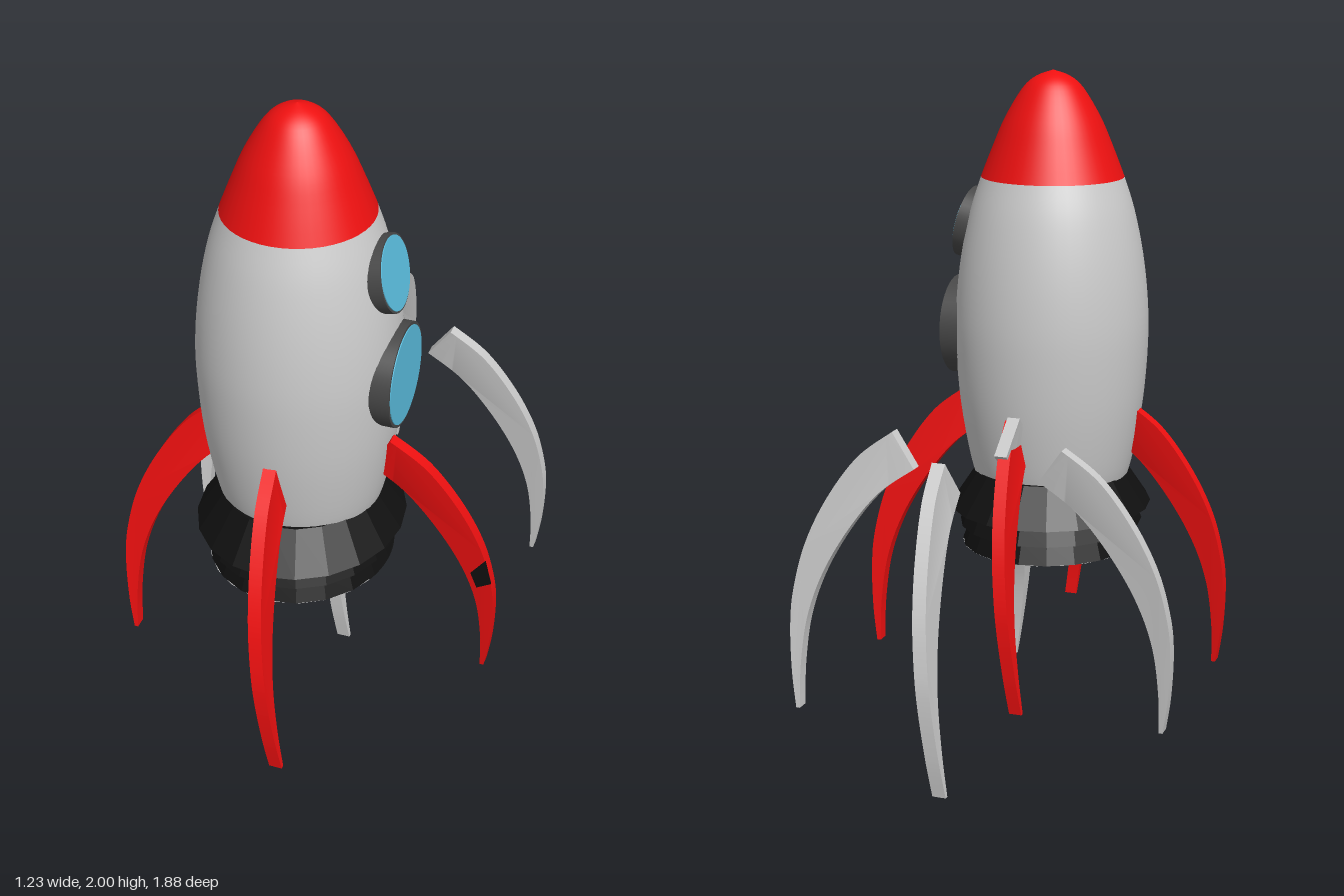
import * as THREE from 'three';
import { toCreasedNormals } from 'three/addons/utils/BufferGeometryUtils.js';

const material = (color, options = {}) => new THREE.MeshStandardMaterial({ color, ...options });
const grey = material(0xcccccc);
const red = material(0xee1010);
const black = material(0x101010, { flatShading: true, side: THREE.DoubleSide });
const darkGrey = material(0x484848);
const blue = material(0x5bbfe0);
const greyPlate = material(0xcccccc, { side: THREE.DoubleSide });

function add(parent, name, geometry, mat) {
  const mesh = new THREE.Mesh(geometry, mat);
  mesh.name = name;
  parent.add(mesh);
  return mesh;
}

const vectors = (pairs) => pairs.map(([x, y]) => new THREE.Vector2(x, y));

function smoothLathe(pairs, divisions) {
  const points = new THREE.SplineCurve(vectors(pairs)).getPoints(divisions);
  points.forEach((p) => { p.x = Math.max(p.x, 0); });
  return new THREE.LatheGeometry(points, 48);
}

// Extrudes a (radius, height) outline and lets it drift sideways towards the foot
function sweptPlate(shape, width, offset) {
  const geometry = new THREE.ExtrudeGeometry(shape, { depth: width, bevelEnabled: false, curveSegments: 18 });
  geometry.translate(0, 0, -width / 2);
  geometry.rotateY(-Math.PI / 2);
  const pos = geometry.attributes.position;
  for (let i = 0; i < pos.count; i++) {
    const drop = Math.max(0, 1 - pos.getY(i) / 0.92);
    pos.setX(i, pos.getX(i) + offset - 0.015 + 0.115 * Math.pow(drop, 0.9));
  }
  return toCreasedNormals(geometry, 0.5);
}

function legGeometry() {
  const shape = new THREE.Shape();
  shape.moveTo(0.205, 0.81);
  shape.splineThru(vectors([[0.32, 0.725], [0.42, 0.6], [0.505, 0.45], [0.555, 0.3], [0.573, 0.14], [0.572, 0]]));
  shape.lineTo(0.585, 0);
  shape.splineThru(vectors([[0.604, 0.12], [0.614, 0.27], [0.606, 0.39], [0.57, 0.54], [0.5, 0.69], [0.4, 0.83], [0.285, 0.92]]));
  shape.closePath();
  return sweptPlate(shape, 0.042, 0);
}

// Four legs around a common centre
function legSet(name, geometry, mat, z) {
  const set = new THREE.Group();
  set.name = name;
  set.position.z = z;
  for (let i = 0; i < 4; i++) add(set, 'leg', geometry, mat).rotation.y = (i * Math.PI) / 2;
  return set;
}

// Round window: dark rim with a shallow glass disc, facing +x
function porthole(radius, x, y, tilt) {
  const window = new THREE.Group();
  window.name = 'porthole';
  window.position.set(x, y, 0);
  window.rotation.z = tilt;
  const rim = new THREE.CylinderGeometry(radius, radius, 0.07, 40).rotateZ(-Math.PI / 2).translate(-0.035, 0, 0);
  add(window, 'rim', rim, darkGrey);
  const glass = new THREE.CylinderGeometry(radius * 0.94, radius * 0.94, 0.006, 40).rotateZ(-Math.PI / 2);
  add(window, 'glass', glass, blue);
  return window;
}

export function createModel() {
  const model = new THREE.Group();
  model.name = 'rocket';

  const hull = new THREE.Group();
  hull.name = 'hull';
  hull.position.set(-0.025, 0, 0.305);
  model.add(hull);

  // Rounded fuselage and nose cone
  add(hull, 'fuselage', smoothLathe([
    [0, 0.36], [0.06, 0.37], [0.11, 0.415], [0.18, 0.5], [0.235, 0.6], [0.27, 0.7], [0.305, 0.9],
    [0.32, 1.1], [0.317, 1.25], [0.3, 1.4], [0.27, 1.545], [0.233, 1.66],
  ], 44), grey);
  add(hull, 'noseCone', smoothLathe([
    [0.235, 1.655], [0.198, 1.75], [0.157, 1.845], [0.1, 1.94], [0.055, 1.98], [0, 2],
  ], 20), red);

  // Stepped skirt, slightly narrower across x
  const skirt = new THREE.Group();
  skirt.name = 'skirt';
  skirt.scale.x = 0.9;
  hull.add(skirt);
  add(skirt, 'skirtRings', new THREE.LatheGeometry(vectors([
    [0.328, 0.42], [0.3, 0.487], [0.338, 0.487], [0.31, 0.55], [0.37, 0.55], [0.278, 0.675], [0.22, 0.675],
  ]), 20), black);

  // Underside: grey annulus with one black sector on the +x side
  const gap = 0.4;
  const underside = (start, length) =>
    new THREE.RingGeometry(0.115, 0.328, 20, 1, start, length).rotateX(Math.PI / 2).translate(0, 0.42, 0);
  add(skirt, 'underside', underside(gap, Math.PI * 2 - 2 * gap), greyPlate);
  add(skirt, 'undersideSector', underside(-gap, 2 * gap), black);

  // Windows on the left flank
  hull.add(porthole(0.165, 0.338, 1.14, 0), porthole(0.12, 0.3, 1.492, 0.23));

  // Attached red legs and a loose grey set behind
  const leg = legGeometry();
  const legs = legSet('redLegs', leg, red, 0.325);
  model.add(legs, legSet('greyLegs', leg, grey, -0.325));

  // Black patch on one side of the left leg
  const patch = new THREE.Shape(vectors([[0.56, 0.36], [0.608, 0.39], [0.589, 0.488], [0.54, 0.42]]));
  add(legs, 'legPatch', sweptPlate(patch, 0.004, -0.021), black).rotation.y = Math.PI / 2;

  return model;
}
